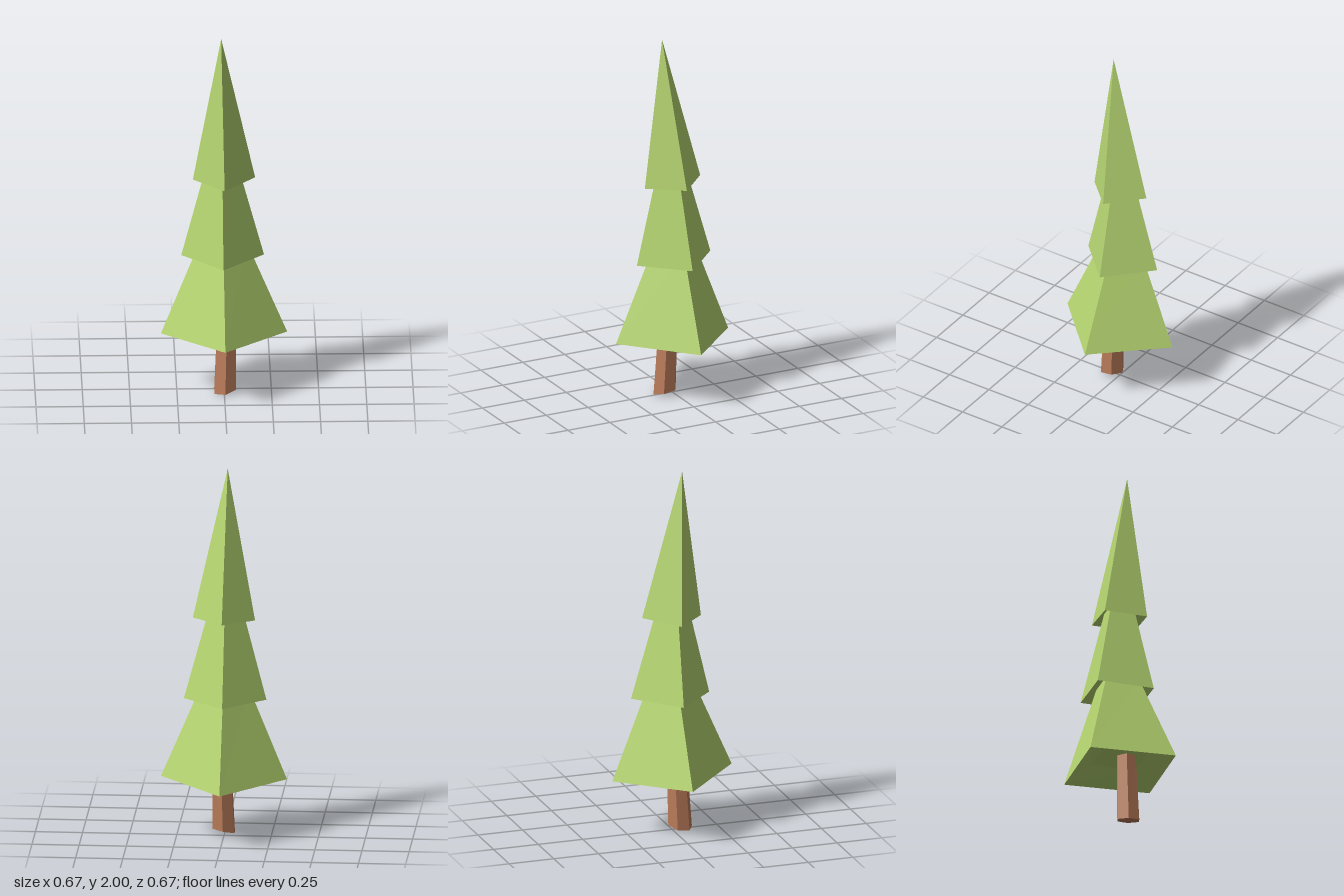
import * as THREE from 'three';

// Joins rings [x, y, z, radius, tiltX, tiltZ] listed from bottom centre to top centre
function loft(rings, sides, material, name) {
  const corner = ([x, y, z, r, tx = 0, tz = 0], i) => {
    const a = (i / sides) * Math.PI * 2;
    const dx = r * Math.sin(a), dz = r * Math.cos(a);
    return [x + dx, y + tx * dx + tz * dz, z + dz];
  };
  const pos = [];
  for (let k = 0; k + 1 < rings.length; k++) {
    const lo = rings[k], hi = rings[k + 1];
    for (let i = 0; i < sides; i++) {
      const a = corner(lo, i), b = corner(lo, i + 1), c = corner(hi, i + 1), d = corner(hi, i);
      if (lo[3] > 0) pos.push(...a, ...b, ...c);
      if (hi[3] > 0) pos.push(...a, ...c, ...d);
      else if (lo[3] === 0) continue;
    }
  }
  const geometry = new THREE.BufferGeometry();
  geometry.setAttribute('position', new THREE.Float32BufferAttribute(pos, 3));
  geometry.computeVertexNormals();
  const mesh = new THREE.Mesh(geometry, material);
  mesh.name = name;
  return mesh;
}

export function createModel() {
  const group = new THREE.Group();
  group.name = 'pineTree';
  const leaf = new THREE.MeshStandardMaterial({ color: 0xb6d671 });
  leaf.name = 'leaf green';
  const bark = new THREE.MeshStandardMaterial({ color: 0xbb7c5a });
  bark.name = 'bark brown';

  // Leaning six-sided trunk with a slanted foot
  group.add(loft([
    [0.005, 0.017, 0.047, 0, 0.2, -0.13],
    [0.005, 0.017, 0.047, 0.066, 0.2, -0.13],
    [0.014, 0.41, 0.03, 0.056],
    [0.014, 0.41, 0.03, 0],
  ], 6, bark, 'trunk'));

  // Four-sided foliage tiers, each with a recessed underside
  group.add(loft([
    [0, 0.39, 0, 0],
    [0, 0.39, 0, 0.17],
    [0, 0.319, 0, 0.334, 0.008, 0.037],
    [-0.005, 0.82, -0.01, 0.127],
    [-0.005, 0.82, -0.01, 0],
  ], 4, leaf, 'lowerFoliage'));
  group.add(loft([
    [-0.005, 0.815, -0.01, 0],
    [-0.005, 0.815, -0.01, 0.126],
    [-0.007, 0.754, -0.013, 0.219, 0, -0.022],
    [-0.01, 1.25, -0.001, 0.087],
    [-0.01, 1.25, -0.001, 0],
  ], 4, leaf, 'middleFoliage'));
  group.add(loft([
    [-0.01, 1.245, -0.001, 0],
    [-0.01, 1.245, -0.001, 0.086],
    [0, 1.19, -0.003, 0.165, 0.03, -0.06],
    [-0.016, 2, 0.051, 0],
  ], 4, leaf, 'upperFoliage'));

  return group;
}
